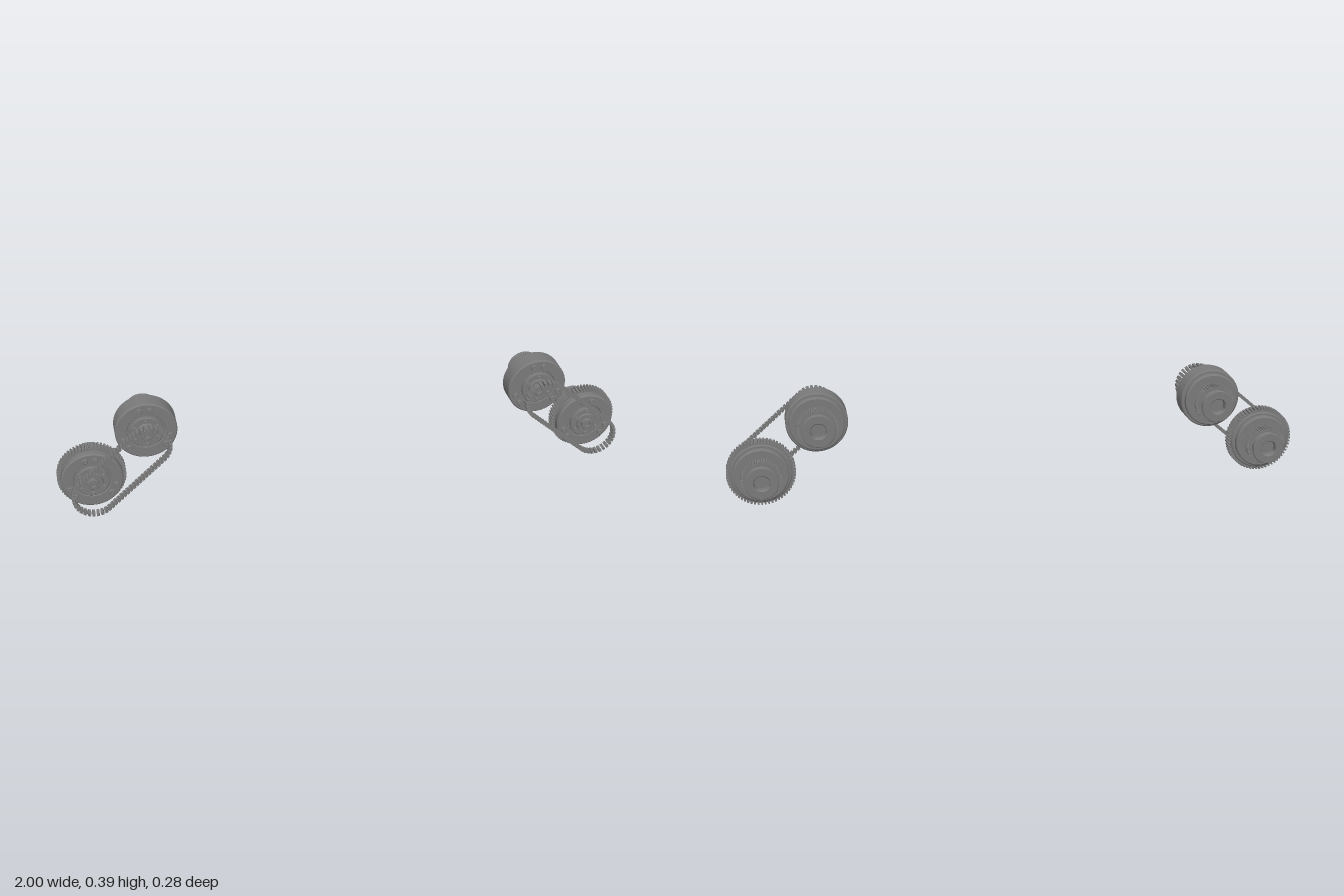
import * as THREE from 'three';
import { mergeGeometries, toCreasedNormals } from 'three/addons/utils/BufferGeometryUtils.js';

const steel = new THREE.MeshStandardMaterial({ color: 0x7a7a7a });
steel.name = 'steelGrey';

const UPPER = [0.687, 0.2885], LOWER = [0.883, 0.1175]; // wheel centres

// Turned part around the z axis; profile points are [radius, z]
function turned(points, name, segments = 48) {
  const geo = new THREE.LatheGeometry(points.map(p => new THREE.Vector2(p[0], p[1])), segments);
  geo.rotateX(Math.PI / 2);
  // lathe height runs along +z after the turn
  const mesh = new THREE.Mesh(toCreasedNormals(geo, 0.6), steel);
  mesh.name = name;
  return mesh;
}

// Square-toothed ring between two z positions
function toothedRing(root, tip, teeth, back, front, name) {
  const shape = new THREE.Shape();
  const step = Math.PI * 2 / teeth;
  for (let i = 0; i < teeth; i++) {
    [[root, 0], [tip, 0.08], [tip, 0.52], [root, 0.6]].forEach(([r, f], k) => {
      const a = (i + f) * step;
      const x = r * Math.cos(a), y = r * Math.sin(a);
      if (i === 0 && k === 0) shape.moveTo(x, y); else shape.lineTo(x, y);
    });
  }
  shape.closePath();
  const geo = new THREE.ExtrudeGeometry(shape, { depth: front - back, bevelEnabled: false });
  geo.translate(0, 0, back);
  const mesh = new THREE.Mesh(geo, steel);
  mesh.name = name;
  return mesh;
}

// Short cylinder bolts with a socket, at given angles
function bolts(angles, circle, radius, back, front, name) {
  const geos = angles.map(deg => {
    const a = THREE.MathUtils.degToRad(deg);
    const d = front - back;
    const geo = new THREE.LatheGeometry([
      [radius, 0], [radius, d * 0.8], [radius * 0.85, d], [radius * 0.5, d], [radius * 0.5, d * 0.4], [0, d * 0.4],
    ].map(p => new THREE.Vector2(p[0], p[1])), 14);
    geo.rotateX(Math.PI / 2);
    geo.translate(circle * Math.cos(a), circle * Math.sin(a), back);
    return toCreasedNormals(geo, 0.6);
  });
  const mesh = new THREE.Mesh(mergeGeometries(geos), steel);
  mesh.name = name;
  return mesh;
}

function wheel(name, geared) {
  const g = new THREE.Group();
  g.name = name;
  // Drum with a smaller rear step
  g.add(turned([
    [0, -0.045], [0.09, -0.045], [0.094, -0.042], [0.094, -0.028], [0.101, -0.028], [0.105, -0.025],
    [0.105, 0.034], [0.101, 0.038], [0.066, 0.038], [0.064, 0.035], [0.058, 0.035], [0, 0.035],
  ], 'drum', 64));
  // Front boss and axle end
  g.add(turned([[0.057, 0.034], [0.057, 0.045], [0.055, 0.047], [0.036, 0.047], [0.034, 0.054], [0.021, 0.054],
    [0.021, 0.064], [0.019, 0.066], [0.011, 0.066], [0.011, 0.056], [0, 0.056]], 'frontBoss'));
  g.add(bolts([78, 102, 198, 222, 318, 342], 0.083, 0.01, 0.037, 0.046, 'outerBolts'));
  g.add(bolts([30, 90, 150, 210, 270, 330], 0.045, 0.006, 0.046, 0.054, 'innerBolts'));
  // Rear neck, drive pulley and bored flared hub
  g.add(turned([[0.05, -0.06], [0.05, -0.044]], 'neck'));
  g.add(toothedRing(0.0625, 0.0685, 48, -0.088, -0.058, 'drivePulley'));
  g.add(turned([
    [0, -0.092], [0.026, -0.092], [0.026, -0.112], [0.029, -0.116], [0.055, -0.116], [0.057, -0.114],
    [0.057, -0.109], [0.053, -0.106], [0.05, -0.101], [0.05, -0.096], [0.052, -0.087],
  ], 'flaredHub'));
  if (geared) g.add(toothedRing(0.109, 0.117, 60, -0.022, 0.013, 'rimGear'));
  return g;
}

// Belt made of separate bars following a stadium path around both wheel centres
function belt() {
  const r = 0.07, count = 66;
  const a = new THREE.Vector2(...UPPER), b = new THREE.Vector2(...LOWER);
  const dir = b.clone().sub(a), span = dir.length();
  const tilt = dir.angle(), arc = Math.PI * r, total = 2 * (span + arc);
  const bars = [];
  for (let i = 0; i < count; i++) {
    let s = i / count * total, x, y, turn;
    const half = s >= span + arc ? 1 : 0;
    s -= half * (span + arc);
    if (s < span) { x = s - span / 2; y = -r; turn = 0; }
    else {
      turn = (s - span) / r;
      x = span / 2 + r * Math.sin(turn);
      y = -r * Math.cos(turn);
    }
    const bar = new THREE.BoxGeometry(0.0095, 0.011, 0.025);
    bar.rotateZ(turn);
    bar.translate(x, y, 0);
    bar.rotateZ(half * Math.PI + tilt);
    bar.translate((a.x + b.x) / 2, (a.y + b.y) / 2, 0.1305);
    bars.push(bar);
  }
  const mesh = new THREE.Mesh(mergeGeometries(bars), steel);
  mesh.name = 'belt';
  return mesh;
}

export function createModel() {
  const model = new THREE.Group();
  model.name = 'pulleyAssemblies';
  for (const side of [1, -1]) {
    const unit = new THREE.Group();
    unit.name = side > 0 ? 'leftAssembly' : 'rightAssembly';
    const upper = wheel('upperWheel', false);
    upper.position.set(side * UPPER[0], UPPER[1], 0);
    const lower = wheel('lowerWheel', true);
    lower.position.set(side * LOWER[0], LOWER[1], 0);
    // The belt path leans the other way on the mirrored side
    const loop = belt();
    if (side < 0) loop.geometry.rotateY(Math.PI).translate(0, 0, 0.261);
    unit.add(upper, lower, loop);
    // The right assembly sits slightly further back
    if (side < 0) unit.position.z = -0.025;
    model.add(unit);
  }
  return model;
}
